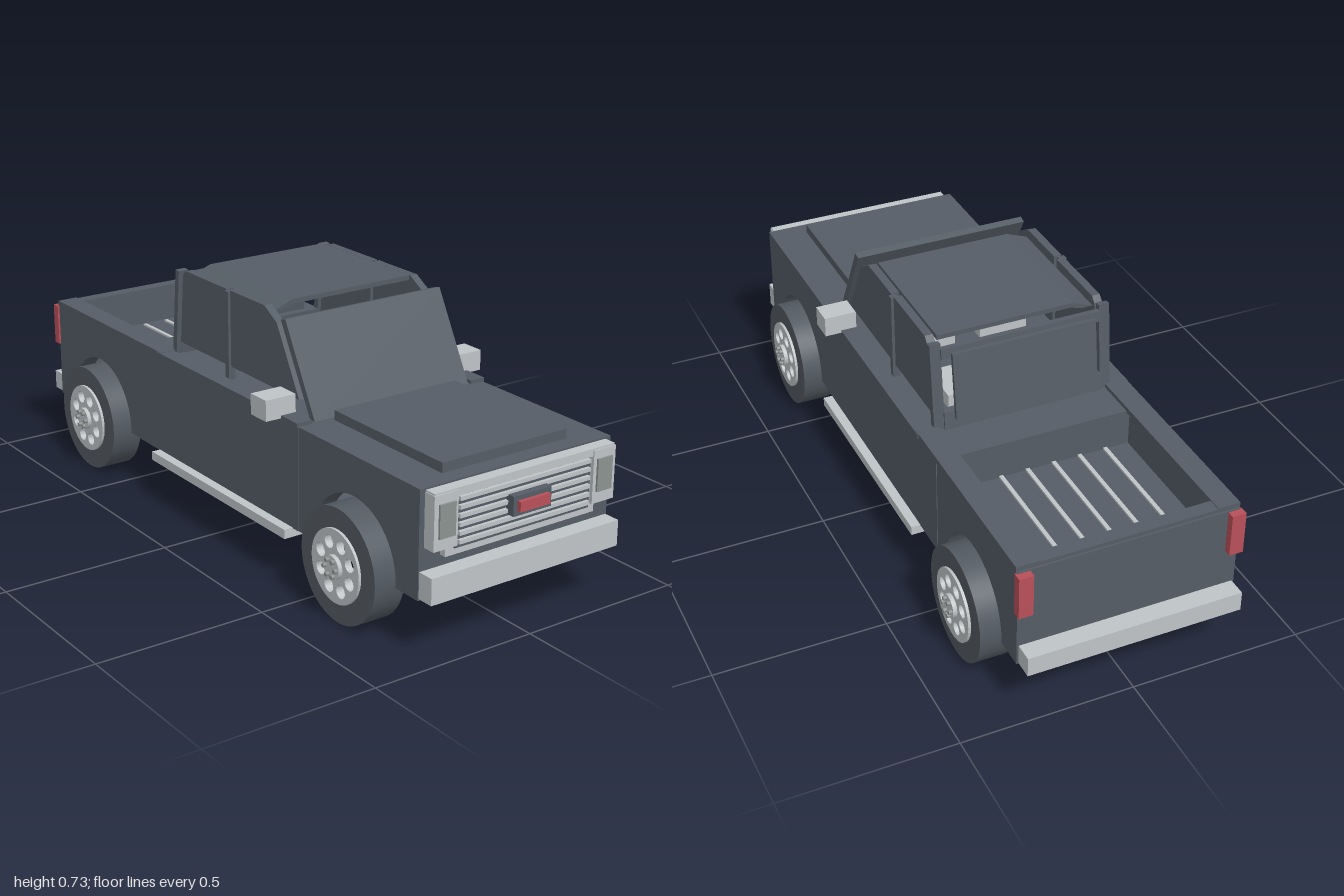
import * as THREE from 'three';

const mat = (name, color) => {
  const m = new THREE.MeshStandardMaterial({ color });
  m.name = name;
  return m;
};

export function createModel() {
  const paint = mat('slate paint', 0x555d66);
  const silver = mat('silver trim', 0xbfc4c7);
  const lens = mat('lens grey', 0x8c9391);
  const red = mat('red', 0xb8505a);
  const rubber = mat('tyre rubber', 0x535a62);

  const truck = new THREE.Group();
  truck.name = 'pickupTruck';

  const add = (name, geo, material, parent = truck) => {
    const m = new THREE.Mesh(geo, material);
    m.name = name;
    parent.add(m);
    return m;
  };
  // Box given by its min and max on each axis
  const box = (name, material, x0, x1, y0, y1, z0, z1) => {
    const g = new THREE.BoxGeometry(x1 - x0, y1 - y0, z1 - z0);
    g.translate((x0 + x1) / 2, (y0 + y1) / 2, (z0 + z1) / 2);
    return add(name, g, material);
  };
  // Side outline (x, y) swept from z0 to z1
  const prism = (name, material, outline, z0, z1) => {
    const shape = outline instanceof THREE.Shape ? outline
      : new THREE.Shape(outline.map(p => new THREE.Vector2(...p)));
    const g = new THREE.ExtrudeGeometry(shape, { depth: z1 - z0, bevelEnabled: false, curveSegments: 24 });
    g.translate(0, 0, z0);
    return add(name, g, material);
  };
  const bothBox = (name, material, x0, x1, y0, y1, z0, z1) => {
    box(name, material, x0, x1, y0, y1, z0, z1);
    box(name, material, x0, x1, y0, y1, -z1, -z0);
  };
  const bothPrism = (name, material, outline, z0, z1) => {
    prism(name, material, outline, z0, z1);
    prism(name, material, outline, -z1, -z0);
  };

  const wheelX = [-0.675, 0.66];

  // Fender panel with a round wheel opening
  const fender = (x0, x1, cx) => {
    const s = new THREE.Shape();
    s.moveTo(x0, 0.155);
    s.lineTo(cx - 0.18, 0.155);
    s.absarc(cx, 0.165, 0.18, Math.PI, 0, true);
    s.lineTo(cx + 0.18, 0.155);
    s.lineTo(x1, 0.155);
    s.lineTo(x1, 0.455);
    s.lineTo(x0, 0.455);
    return s;
  };
  bothPrism('rearFender', paint, fender(-0.945, -0.44, wheelX[0]), 0.265, 0.318);
  bothPrism('frontFender', paint, fender(0.41, 0.93, wheelX[1]), 0.265, 0.318);

  // Main body
  box('underbody', paint, -0.935, 0.92, 0.157, 0.23, -0.268, 0.268);
  box('cabBody', paint, -0.44, 0.41, 0.155, 0.458, -0.32, 0.32);
  bothBox('cabSill', paint, -0.32, 0.41, 0.455, 0.468, 0.275, 0.323);
  box('hoodDeck', paint, 0.4, 0.93, 0.435, 0.457, -0.318, 0.318);
  box('hoodPanel', paint, 0.42, 0.88, 0.455, 0.485, -0.208, 0.208);
  box('nosePanel', paint, 0.9, 0.93, 0.157, 0.45, -0.3, 0.3);

  // Cargo bed
  box('bedFloor', paint, -0.93, -0.43, 0.31, 0.347, -0.268, 0.268);
  box('bedFrontWall', paint, -0.44, -0.32, 0.345, 0.455, -0.3, 0.3);
  box('tailgate', paint, -0.945, -0.91, 0.157, 0.455, -0.27, 0.27);
  bothBox('bedRail', paint, -0.94, -0.3, 0.453, 0.47, 0.255, 0.32);
  box('tailgateRail', paint, -0.94, -0.9, 0.453, 0.467, -0.26, 0.26);
  for (let i = 0; i < 5; i++) {
    const z = -0.128 + i * 0.08;
    box('bedStrip', silver, -0.89, -0.44, 0.345, 0.353, z - 0.006, z + 0.006);
  }

  // Cab glass and pillars
  bothPrism('rearSideWindow', paint,
    [[-0.275, 0.5], [-0.02, 0.5], [-0.02, 0.725], [-0.24, 0.725], [-0.255, 0.71]], 0.24, 0.264);
  bothPrism('frontSideWindow', paint,
    [[-0.002, 0.5], [0.335, 0.5], [0.23, 0.69], [0.17, 0.725], [-0.002, 0.725]], 0.24, 0.264);
  bothBox('doorPillar', paint, -0.02, -0.002, 0.46, 0.722, 0.25, 0.272);
  prism('windshield', paint, [[0.388, 0.46], [0.41, 0.46], [0.272, 0.712], [0.25, 0.706]], -0.265, 0.265);
  bothPrism('rearPillar', paint, [[-0.312, 0.46], [-0.292, 0.46], [-0.268, 0.718], [-0.286, 0.72]], 0.238, 0.27);
  prism('rearWindow', paint, [[-0.34, 0.5], [-0.328, 0.5], [-0.303, 0.695], [-0.315, 0.695]], -0.215, 0.215);
  prism('rearWindowBase', paint, [[-0.318, 0.455], [-0.292, 0.455], [-0.287, 0.51], [-0.312, 0.51]], -0.24, 0.24);
  prism('rearWindowHeader', paint, [[-0.298, 0.675], [-0.28, 0.675], [-0.278, 0.705], [-0.294, 0.705]], -0.24, 0.24);

  // Roof plate, bevelled along one edge; its section lies in z and y
  const roofShape = new THREE.Shape([[-0.235, 0.713], [0.168, 0.713], [0.2, 0.703], [0.235, 0.703],
    [0.17, 0.727], [-0.235, 0.727]].map(([z, y]) => new THREE.Vector2(-z, y)));
  const roof = new THREE.ExtrudeGeometry(roofShape, { depth: 0.425, bevelEnabled: false });
  roof.rotateY(Math.PI / 2);
  roof.translate(-0.255, 0, 0);
  add('roof', roof, paint);

  // Seats
  bothBox('frontSeat', silver, 0.07, 0.23, 0.455, 0.5, 0.04, 0.19);
  box('rearSeat', silver, -0.225, -0.085, 0.455, 0.5, -0.19, 0.19);

  // Mirrors, running boards and bumpers
  bothBox('mirror', silver, 0.262, 0.335, 0.46, 0.52, 0.275, 0.372);
  bothBox('runningBoard', silver, -0.32, 0.385, 0.13, 0.157, 0.255, 0.348);
  box('frontBumper', silver, 0.912, 0.98, 0.16, 0.234, -0.315, 0.315);
  box('rearBumper', silver, -1, -0.935, 0.157, 0.215, -0.312, 0.312);

  // Grille and lamps
  box('grilleSurround', silver, 0.928, 0.95, 0.265, 0.45, -0.25, 0.25);
  box('grillePanel', paint, 0.945, 0.957, 0.285, 0.43, -0.225, 0.225);
  for (let i = 0; i < 6; i++) {
    const y = 0.297 + i * 0.0235;
    box('grilleSlat', silver, 0.955, 0.967, y, y + 0.011, -0.218, 0.218);
  }
  box('grilleTopBar', silver, 0.928, 0.965, 0.43, 0.452, -0.3, 0.3);
  bothBox('headlampFrame', silver, 0.928, 0.968, 0.297, 0.447, 0.226, 0.302);
  bothBox('headlampLens', lens, 0.966, 0.974, 0.33, 0.422, 0.237, 0.288);
  box('badgePlate', paint, 0.96, 0.988, 0.34, 0.395, -0.063, 0.063);
  box('badgeInset', red, 0.985, 1, 0.353, 0.382, -0.05, 0.05);
  bothBox('tailLamp', red, -0.967, -0.94, 0.325, 0.452, 0.283, 0.324);

  // Wheel: axis along +z, outer side at +z
  const lathe = pts => new THREE.LatheGeometry(pts.map(p => new THREE.Vector2(...p)), 40).rotateX(Math.PI / 2);
  const ringShape = new THREE.Shape().absarc(0, 0, 0.104, 0, Math.PI * 2);
  for (let i = 0; i < 8; i++) {
    const a = (i + 0.5) * Math.PI / 4;
    ringShape.holes.push(new THREE.Path().absarc(Math.cos(a) * 0.068, Math.sin(a) * 0.068, 0.019, 0, Math.PI * 2, true));
  }
  const rimGeo = new THREE.ExtrudeGeometry(ringShape, { depth: 0.02, bevelEnabled: false, curveSegments: 20 });
  rimGeo.translate(0, 0, 0.358);
  const tread = new THREE.CylinderGeometry(0.162, 0.162, 0.095, 40, 1, true).rotateX(Math.PI / 2).translate(0, 0, 0.3225);
  const wall = new THREE.RingGeometry(0.1, 0.162, 40);
  const barrel = lathe([[0.1, 0.275], [0.1, 0.36]]);
  const cyl = (r, z0, z1, x = 0, y = 0) =>
    new THREE.CylinderGeometry(r, r, z1 - z0, 16).rotateX(Math.PI / 2).translate(x, y, (z0 + z1) / 2);
  barrel.name = 'barrel';
  const barrelMat = silver;
  barrelMat.side = THREE.DoubleSide;

  for (const x of wheelX) for (const turn of [0, Math.PI]) {
    const wheel = new THREE.Group();
    wheel.name = 'wheel';
    wheel.position.set(x, 0.162, 0);
    wheel.rotation.y = turn;
    truck.add(wheel);
    add('tyreTread', tread, rubber, wheel);
    add('tyreOuterWall', wall, rubber, wheel).position.z = 0.37;
    const inner = add('tyreInnerWall', wall, rubber, wheel);
    inner.rotation.y = Math.PI;
    inner.position.z = 0.275;
    add('rimBarrel', barrel, barrelMat, wheel);
    add('rim', rimGeo, silver, wheel);
    add('hubCap', cyl(0.034, 0.37, 0.39), silver, wheel);
    for (let i = 0; i < 6; i++) {
      const a = i * Math.PI / 3;
      add('wheelNut', cyl(0.006, 0.385, 0.4, Math.cos(a) * 0.024, Math.sin(a) * 0.024), lens, wheel);
    }
  }
  return truck;
}
